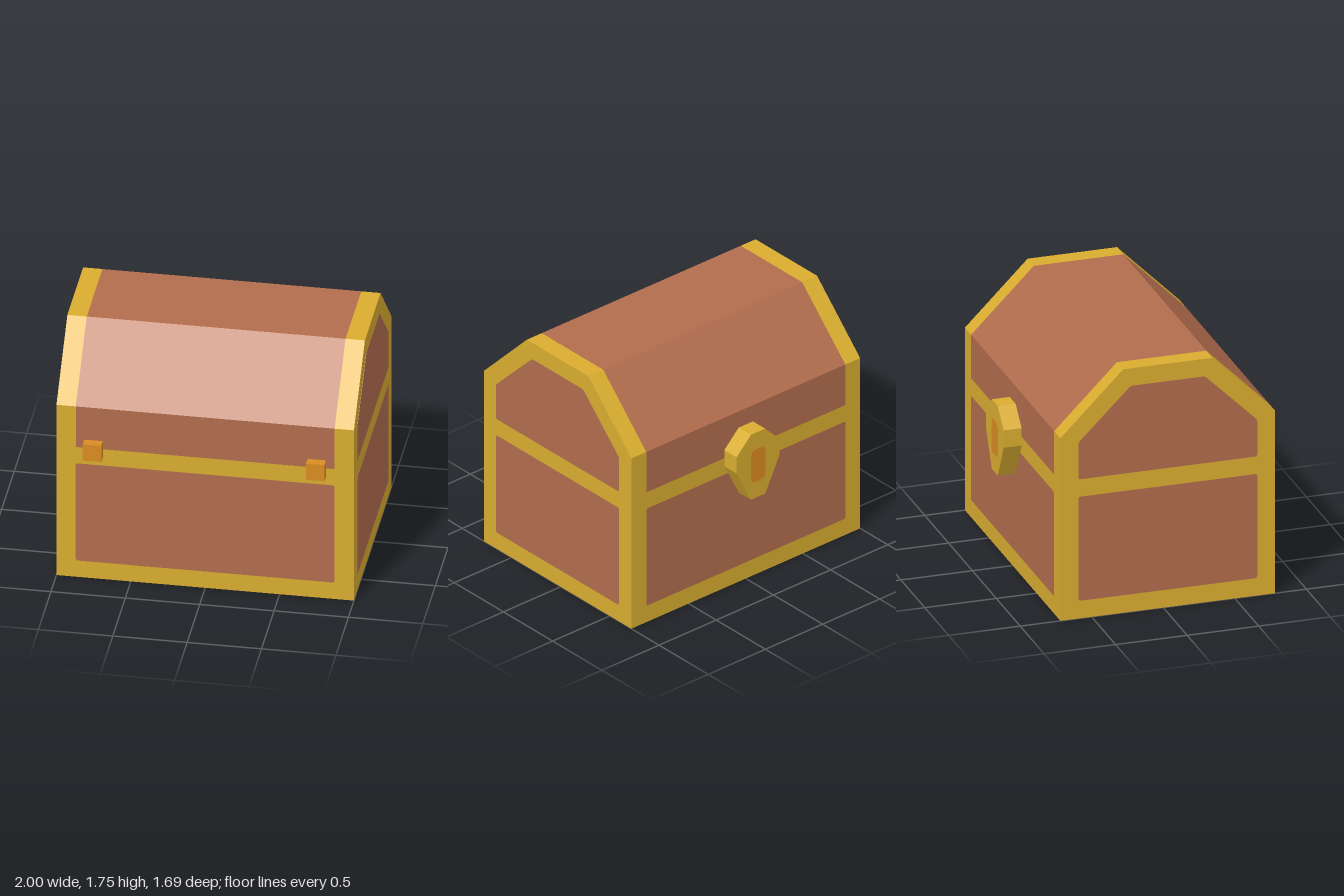
import * as THREE from 'three';

const material = (name, color) => {
  const m = new THREE.MeshStandardMaterial({ color });
  m.name = name;
  return m;
};

// Closed outline whose corners are cut by a small rounding radius
function outline(points, r = 0) {
  const shape = new THREE.Shape();
  const p = points.map(([x, y]) => new THREE.Vector2(x, y));
  p.forEach((c, i) => {
    if (!r) return i ? shape.lineTo(c.x, c.y) : shape.moveTo(c.x, c.y);
    const prev = p[(i + p.length - 1) % p.length], next = p[(i + 1) % p.length];
    const a = prev.clone().sub(c).setLength(r).add(c);
    const b = next.clone().sub(c).setLength(r).add(c);
    if (i) shape.lineTo(a.x, a.y); else shape.moveTo(a.x, a.y);
    shape.quadraticCurveTo(c.x, c.y, b.x, b.y);
  });
  shape.closePath();
  return shape;
}

const rect = (x0, x1, y0, y1) => [[x0, y0], [x1, y0], [x1, y1], [x0, y1]];

// Extrusion centred on its own depth
function slab(shape, depth) {
  const g = new THREE.ExtrudeGeometry(shape, { depth, bevelEnabled: false, curveSegments: 3 });
  return g.translate(0, 0, -depth / 2);
}

// Same, for an outline drawn in (z, y) and extruded along x
const crossSlab = (shape, width) => slab(shape, width).rotateY(-Math.PI / 2);

export function createModel() {
  const gold = material('gold trim', 0xd9ad30);
  const wood = material('brown wood', 0xb26d4d);
  const copper = material('orange metal', 0xda8c22);
  const chest = new THREE.Group();
  chest.name = 'chest';

  const add = (name, geometry, mat, x = 0, y = 0, z = 0, parent = chest) => {
    const mesh = new THREE.Mesh(geometry, mat);
    mesh.name = name;
    mesh.position.set(x, y, z);
    parent.add(mesh);
    return mesh;
  };

  const front = 0.781, back = -0.719, plate = 0.004;

  // Body: gold box with a wooden underside
  const base = new THREE.Group();
  base.name = 'base';
  chest.add(base);
  add('baseFrame', new THREE.BoxGeometry(2, 1, front - back),
    [gold, gold, gold, wood, gold, gold], 0, 0.5, (front + back) / 2, base);

  // Wooden panels on the four walls
  const wide = slab(outline(rect(-0.87, 0.87, 0.127, 0.875), 0.016), plate);
  add('frontPanel', wide, wood, 0, 0, front, base);
  add('backPanel', wide, wood, 0, 0, back, base);
  const side = crossSlab(outline(rect(-0.594, 0.656, 0.127, 0.875), 0.016), plate);
  for (const s of [-1, 1]) add(s > 0 ? 'leftPanel' : 'rightPanel', side, wood, s, 0, 0, base);

  // Lid: wooden middle between two gold end bands
  const lid = new THREE.Group();
  lid.name = 'lid';
  chest.add(lid);
  const lidShape = outline([
    [back, 1], [front, 1], [front, 1.3125], [0.344, 1.75], [-0.281, 1.75], [back, 1.3125],
  ]);
  const lidPanel = outline([
    [-0.594, 1.001], [0.656, 1.001], [0.656, 1.265], [0.29, 1.625], [-0.228, 1.625], [-0.594, 1.265],
  ], 0.016);
  add('lidWood', crossSlab(lidShape, 1.74), wood, 0, 0, 0, lid);
  const band = crossSlab(lidShape, 0.13), endPanel = crossSlab(lidPanel, plate);
  for (const s of [-1, 1]) {
    const label = s > 0 ? 'left' : 'right';
    add(label + 'LidBand', band, gold, s * 0.935, 0, 0, lid);
    add(label + 'LidPanel', endPanel, wood, s, 0, 0, lid);
  }

  // Hinges across the seam
  const hinge = new THREE.BoxGeometry(0.125, 0.125, 0.0625);
  for (const s of [-1, 1]) {
    add(s > 0 ? 'leftHinge' : 'rightHinge', hinge, copper, s * 0.75, 1, front + 0.031);
  }

  // Lock with keyhole
  const lock = new THREE.Group();
  lock.name = 'lock';
  chest.add(lock);
  const lockShape = outline([
    [-0.0625, 0.6875], [0.0625, 0.6875], [0.1875, 0.9375], [0.1875, 1.0625],
    [0.0625, 1.1875], [-0.0625, 1.1875], [-0.1875, 1.0625], [-0.1875, 0.9375],
  ]);
  add('lockPlate', slab(lockShape, 0.125), gold, 0, 0, back - 0.0625, lock);
  add('keyhole', slab(outline(rect(-0.0625, 0.0625, 0.8125, 1.0625), 0.035), plate),
    copper, 0, 0, back - 0.125, lock);

  return chest;
}
